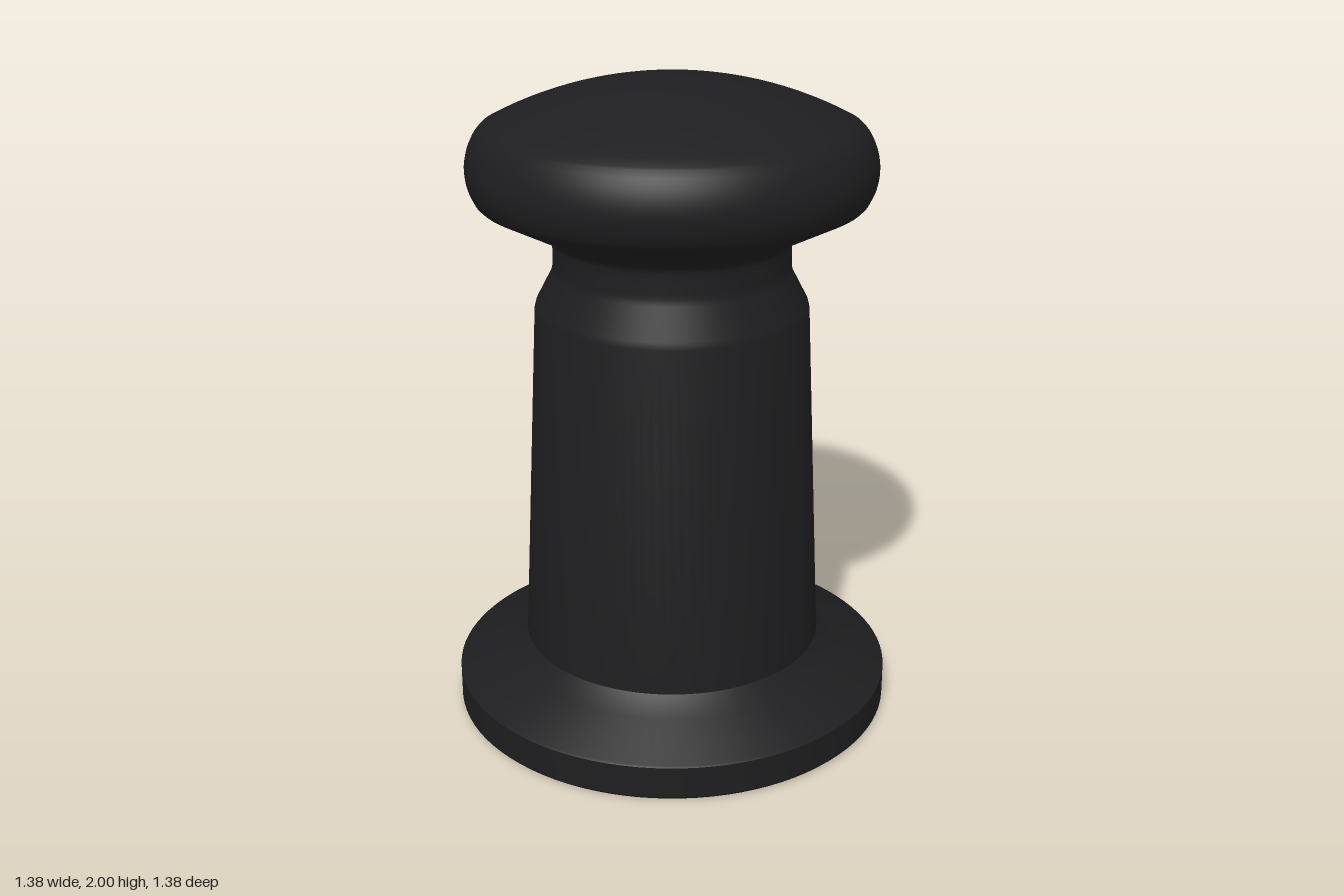
import * as THREE from 'three';
import { toCreasedNormals } from 'three/addons/utils/BufferGeometryUtils.js';

const SEGMENTS = 96;
const material = new THREE.MeshStandardMaterial({ color: 0x1e1e20 });

// Turned part from a bottom-to-top profile of [radius, height]
function turned(name, profile) {
  const points = profile.map((p) => new THREE.Vector2(p[0], p[1]));
  const geometry = toCreasedNormals(new THREE.LatheGeometry(points, SEGMENTS), 0.5);
  const mesh = new THREE.Mesh(geometry, material);
  mesh.name = name;
  return mesh;
}

// Smooth run of profile points through a few guides
function smooth(guides, count) {
  const curve = new THREE.SplineCurve(guides.map((p) => new THREE.Vector2(p[0], p[1])));
  return curve.getPoints(count).map((p) => [p.x, p.y]);
}

export function createModel() {
  const group = new THREE.Group();
  group.name = 'knob';

  // Flat foot with a sloping upper face and a small collar
  group.add(turned('baseFlange', [
    [0, 0], [0.68, 0], [0.69, 0.01], [0.69, 0.11], [0.685, 0.115], [0.525, 0.17], [0.47, 0.225],
  ]));

  // Tapered shaft, shoulder and narrow neck
  group.add(turned('shaft', [
    [0.47, 0.225], [0.417, 1.305], [0.412, 1.325], [0.365, 1.415],
    ...smooth([[0.36, 1.435], [0.359, 1.5], [0.364, 1.523], [0.38, 1.54]], 12),
  ]));

  // Mushroom cap: flared underside, rounded rim, shallow dome
  const dome = [];
  const radius = 1.19;
  const edge = Math.asin(0.56 / radius);
  for (let i = 1; i <= 16; i++) {
    const a = edge * (1 - i / 16);
    dome.push([radius * Math.sin(a), 2 - radius + radius * Math.cos(a)]);
  }
  group.add(turned('cap', [
    [0.38, 1.54], [0.575, 1.64],
    ...smooth([[0.585, 1.65], [0.603, 1.69], [0.61, 1.74], [0.602, 1.79], [0.582, 1.835], [0.56, 1.86]], 16),
    ...dome,
  ]));

  return group;
}
